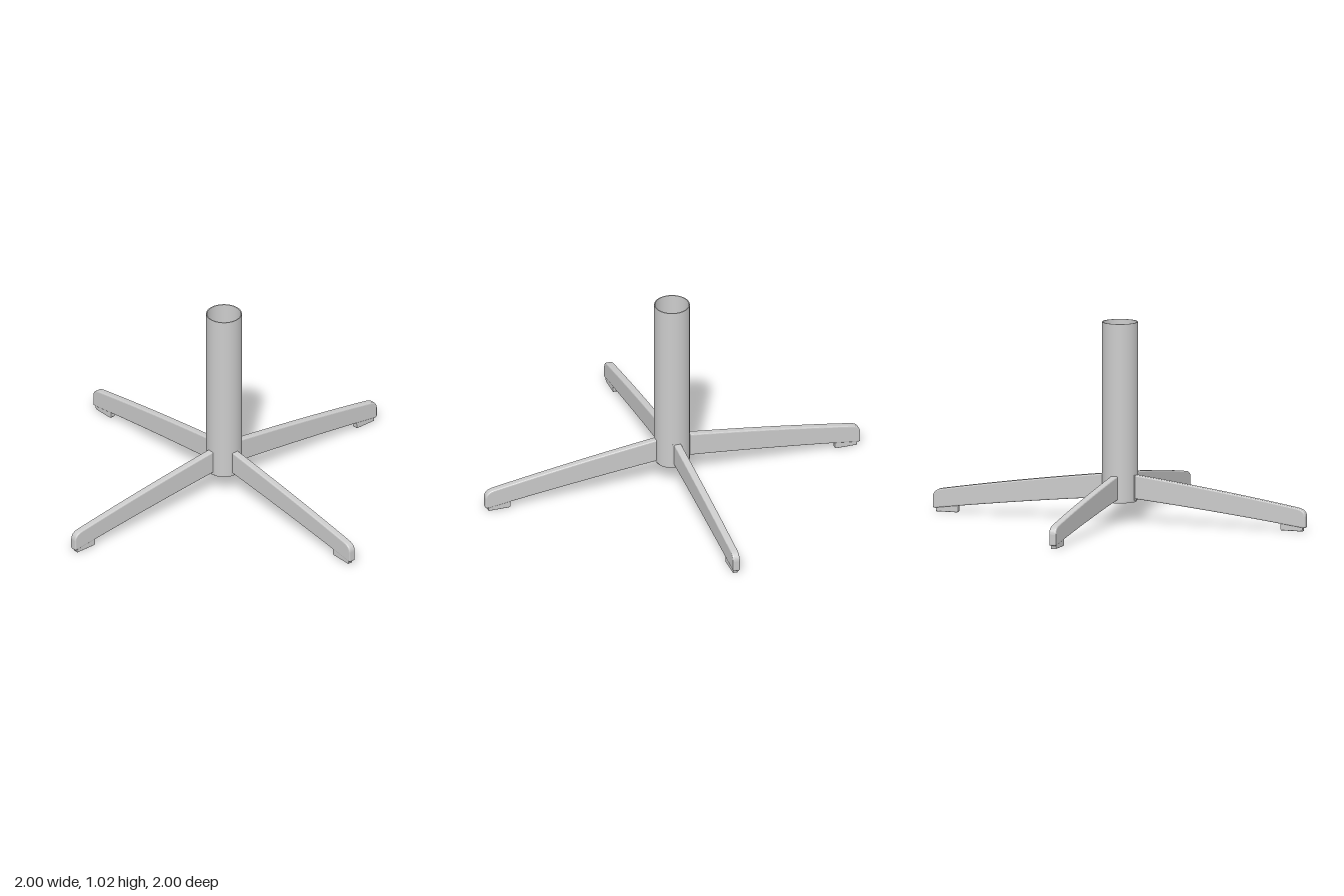
import * as THREE from 'three';

export function createModel() {
  const model = new THREE.Group();
  const grey = new THREE.MeshStandardMaterial({ color: 0xcccccc });
  const add = (parent, name, geometry) => {
    const mesh = new THREE.Mesh(geometry, grey);
    mesh.name = name;
    parent.add(mesh);
    return mesh;
  };
  // Side profile extruded to a centred width, with bevelled edges kept inside the outline
  const slab = (shape, width, bevel) => new THREE.ExtrudeGeometry(shape, {
    depth: width - 2 * bevel, bevelEnabled: true, bevelThickness: bevel,
    bevelSize: bevel, bevelOffset: -bevel, bevelSegments: 3, curveSegments: 10,
  }).translate(0, 0, bevel - width / 2);

  // Hollow column, open at the top; each wall is its own strip for sharp rims
  const column = new THREE.Group();
  column.name = 'column';
  model.add(column);
  const ring = (name, ...pts) => add(column, name,
    new THREE.LatheGeometry(pts.map(([r, y]) => new THREE.Vector2(r, y)), 64));
  ring('columnOuterWall', [0.09, 0.112], [0.09, 1.018]);
  ring('columnRim', [0.09, 1.018], [0.085, 1.018]);
  ring('columnInnerWall', [0.085, 1.018], [0.085, 0.112]);
  ring('columnLowerRim', [0.085, 0.112], [0.09, 0.112]);

  // Plug closing the column's bottom
  const plug = add(column, 'bottomPlug', new THREE.CylinderGeometry(0.087, 0.085, 0.014, 64));
  plug.position.y = 0.11;

  // Leg profile: gently bowed top, rounded outer corner
  const legShape = new THREE.Shape();
  legShape.moveTo(0.062, 0.119);
  legShape.lineTo(0.09, 0.119);
  legShape.quadraticCurveTo(0.55, 0.076, 0.99, 0.018);
  legShape.quadraticCurveTo(1, 0.017, 1, 0.028);
  legShape.lineTo(1, 0.075);
  legShape.quadraticCurveTo(0.998, 0.11, 0.955, 0.118);
  legShape.quadraticCurveTo(0.55, 0.186, 0.09, 0.241);
  legShape.lineTo(0.062, 0.241);
  legShape.closePath();

  // Foot pad profile, its top buried in the sloping leg
  const footShape = new THREE.Shape();
  footShape.moveTo(0.87, 0);
  footShape.lineTo(0.982, 0);
  footShape.lineTo(0.986, 0.025);
  footShape.lineTo(0.865, 0.042);
  footShape.lineTo(0.865, 0.006);
  footShape.closePath();

  const legGeometry = slab(legShape, 0.037, 0.007);
  const footGeometry = slab(footShape, 0.03, 0.004);
  const socketGeometry = new THREE.BoxGeometry(0.032, 0.13, 0.054);

  // Four legs, each with a socket through the column wall
  for (let i = 0; i < 4; i++) {
    const arm = new THREE.Group();
    arm.name = 'legAssembly';
    arm.rotation.y = i * Math.PI / 2;
    add(arm, 'leg', legGeometry);
    add(arm, 'footPad', footGeometry);
    add(arm, 'legSocket', socketGeometry).position.set(0.071, 0.178, 0);
    model.add(arm);
  }
  return model;
}
